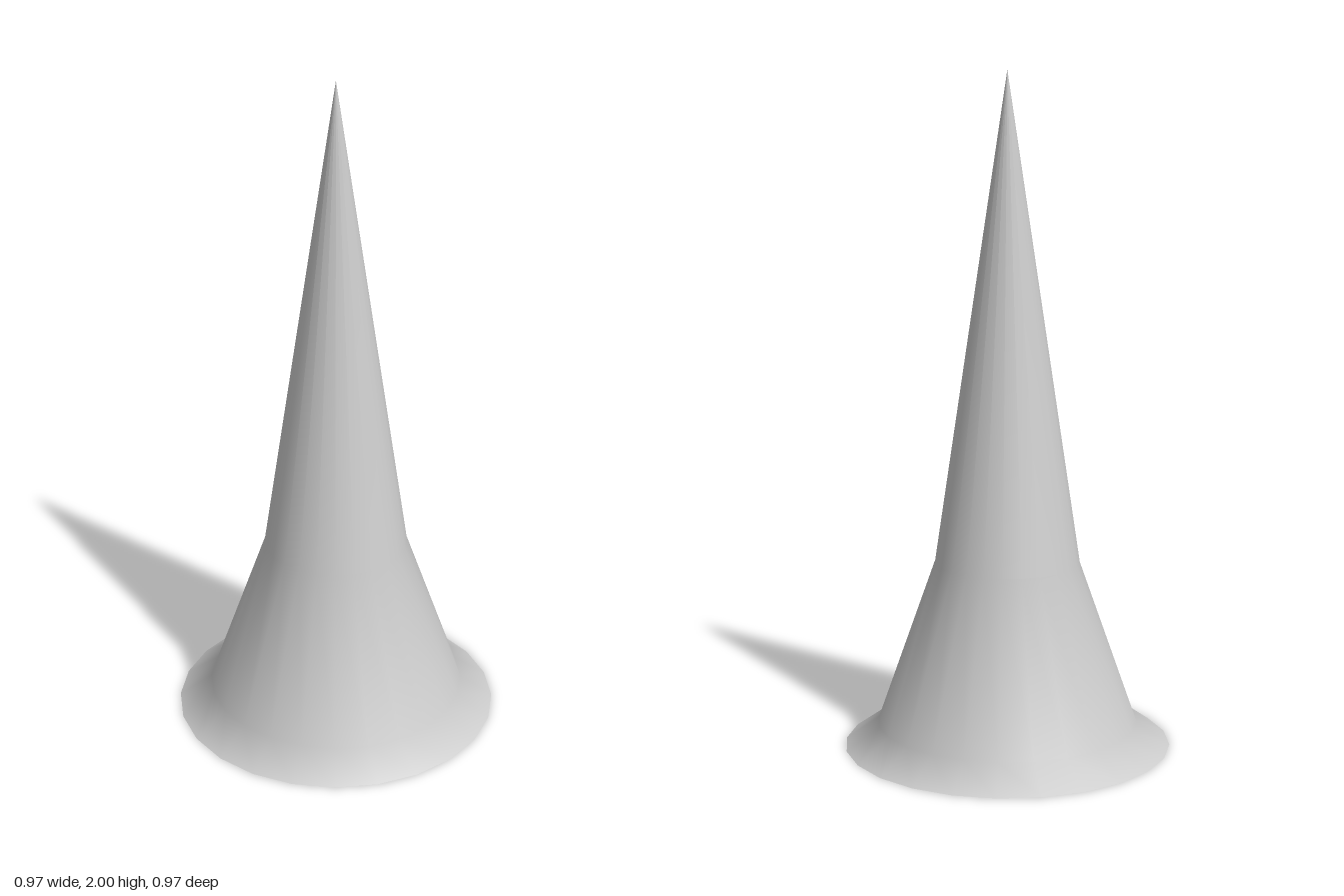
import * as THREE from 'three';

const SIDES = 24;
const BASE_RADIUS = 0.487;

export function createModel() {
  const group = new THREE.Group();
  group.name = 'spike';
  const material = new THREE.MeshStandardMaterial({ color: 0xcccccc });

  // Flared foot, tapering skirt and long point in one smooth profile
  const profile = [
    [BASE_RADIUS, 0],
    [0.388, 0.07],
    [0.215, 0.56],
    [0, 2],
  ].map(([r, y]) => new THREE.Vector2(r, y));
  const body = new THREE.Mesh(new THREE.LatheGeometry(profile, SIDES), material);
  body.name = 'spikeBody';
  group.add(body);

  // Flat underside with a sharp rim
  const base = new THREE.Mesh(new THREE.CircleGeometry(BASE_RADIUS, SIDES), material);
  base.name = 'baseCap';
  base.rotation.x = Math.PI / 2;
  group.add(base);

  return group;
}
